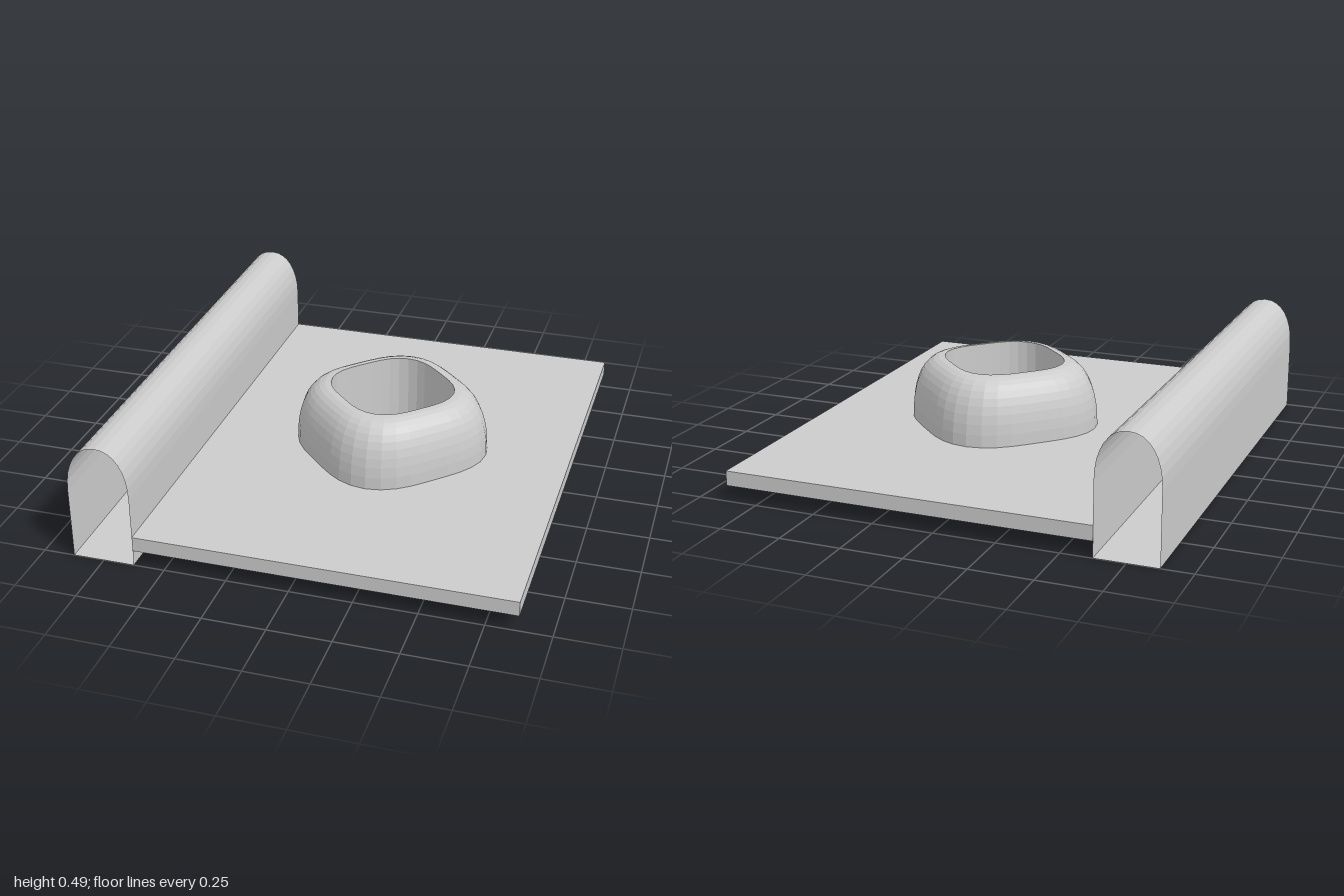
import * as THREE from 'three';

const SEGMENTS = 40;
const CENTRE_X = 0.125;
const PLATE_BOTTOM = 0.065, PLATE_TOP = 0.125;
const COLLAR_TOP = 0.39, COLLAR_OUTER = 0.405, COLLAR_INNER = 0.26;

// Rounded diamond outline of the given corner radius
function diamond(radius) {
  return Array.from({ length: SEGMENTS }, (_, i) => {
    const a = (i / SEGMENTS) * Math.PI * 2;
    const r = radius * (0.943 + 0.057 * Math.cos(4 * a));
    return new THREE.Vector2(CENTRE_X + r * Math.cos(a), r * Math.sin(a));
  });
}

// Quarter superellipse, t from 0 (side) to 1 (top)
function quarter(t, power) {
  const a = t * Math.PI / 2;
  return [Math.max(0, Math.cos(a)) ** (2 / power), Math.sin(a) ** (2 / power)];
}

// Skin through closed rings of Vector3 points
function loft(rings) {
  const n = rings[0].length, index = [];
  for (let i = 0; i < rings.length - 1; i++) {
    for (let j = 0; j < n; j++) {
      const k = (j + 1) % n;
      const a = i * n + j, b = i * n + k, c = b + n, d = a + n;
      index.push(a, b, c, a, c, d);
    }
  }
  const geometry = new THREE.BufferGeometry().setFromPoints(rings.flat());
  geometry.setIndex(index);
  geometry.computeVertexNormals();
  return geometry;
}

export function createModel() {
  const group = new THREE.Group();
  const solid = new THREE.MeshStandardMaterial({ color: 0xcccccc, flatShading: true });
  const shell = solid.clone();
  shell.side = THREE.DoubleSide;

  const add = (name, geometry, material) => {
    const mesh = new THREE.Mesh(geometry, material);
    mesh.name = name;
    group.add(mesh);
  };

  // Flat plate with a rounded diamond opening
  const outline = new THREE.Shape([
    new THREE.Vector2(-0.625, -1), new THREE.Vector2(0.875, -1),
    new THREE.Vector2(0.875, 1), new THREE.Vector2(-0.625, 1),
  ]);
  outline.holes.push(new THREE.Path(diamond(COLLAR_INNER)));
  const plate = new THREE.ExtrudeGeometry(outline, { depth: PLATE_TOP - PLATE_BOTTOM, bevelEnabled: false });
  plate.rotateX(-Math.PI / 2).translate(0, PLATE_BOTTOM, 0);
  add('plate', plate, solid);

  // Domed collar around the opening, with a straight inner wall
  const profile = [];
  for (let i = 0; i <= 10; i++) {
    const [u, v] = quarter(i / 10, 2.25);
    profile.push([
      COLLAR_INNER + (COLLAR_OUTER - COLLAR_INNER) * u,
      PLATE_TOP + (COLLAR_TOP - PLATE_TOP) * v,
    ]);
  }
  profile.push([COLLAR_INNER, PLATE_TOP]);
  const collarRings = profile.map(([r, y]) => diamond(r).map((p) => new THREE.Vector3(p.x, y, -p.y)));
  add('collar', loft(collarRings), shell);

  // Hollow arched rail along the edge, open at both ends
  const arch = [[0.125, 0]];
  const steps = 8;
  for (let i = 0; i <= 2 * steps; i++) {
    const side = i <= steps ? 1 : -1;
    const [u, v] = quarter((side > 0 ? i : 2 * steps - i) / steps, 2.2);
    arch.push([side * 0.125 * u, 0.29 + 0.2 * v]);
  }
  arch.push([-0.125, 0]);
  const railRings = [-1, 1].map((z) => arch.map(([x, y]) => new THREE.Vector3(x - 0.75, y, z)));
  add('archedRail', loft(railRings), shell);

  return group;
}
